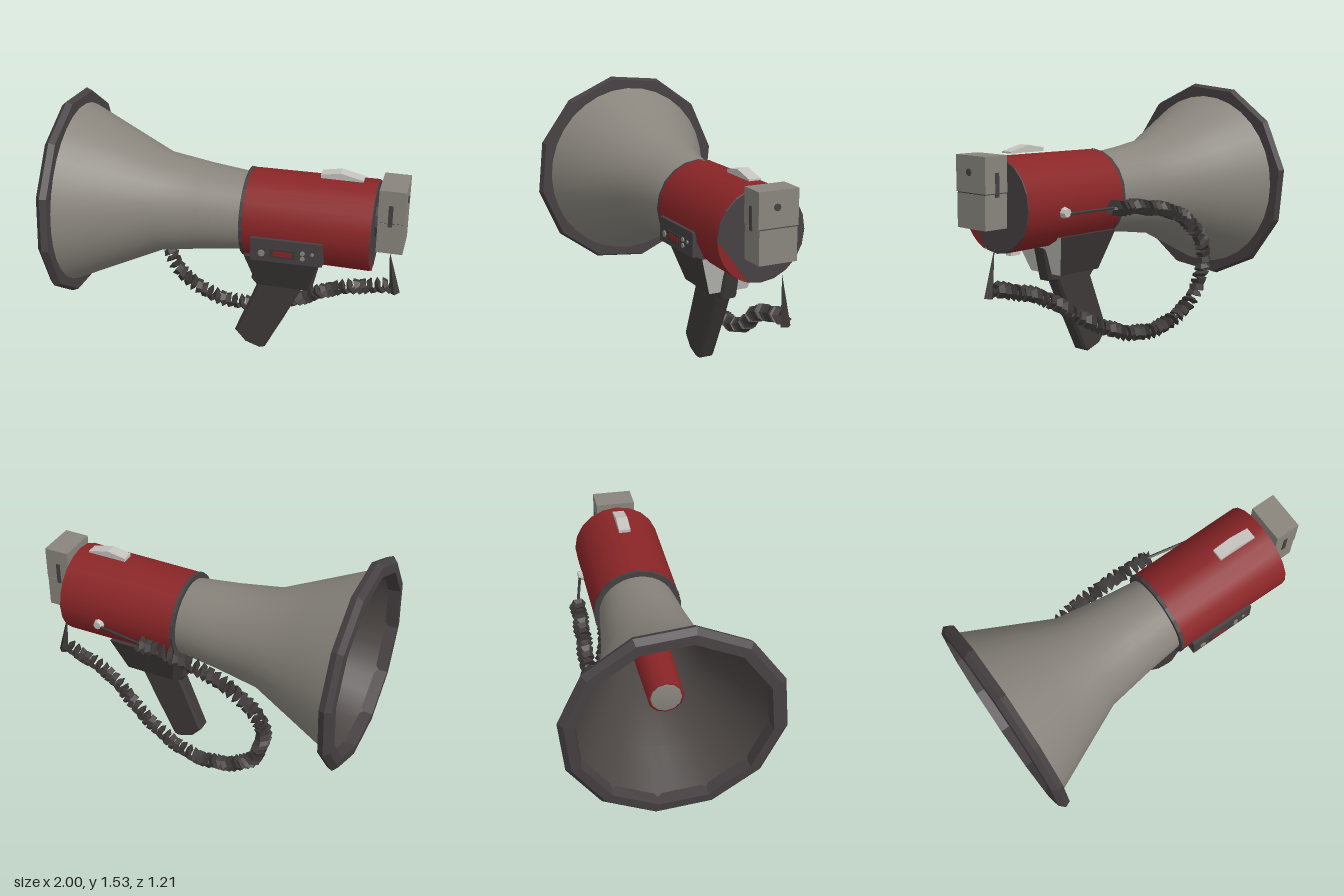
import * as THREE from 'three';

const mat = (name, color, opts = {}) => {
  const m = new THREE.MeshStandardMaterial({ color, ...opts });
  m.name = name;
  return m;
};

export function createModel() {
  const root = new THREE.Group();
  root.name = 'megaphone';
  const AXIS = 0.92;
  const grey = mat('hornGrey', 0x89857d);
  const red = mat('bodyRed', 0x8a2527);
  const dark = mat('darkPlastic', 0x464042, { flatShading: true });
  const lining = mat('hornLining', 0x4a4543);
  const black = mat('gripBlack', 0x3e3939, { flatShading: true });
  const light = mat('lightMetal', 0xc4c3be, { flatShading: true });

  const add = (name, geo, material, x = 0, y = 0, z = 0) => {
    const m = new THREE.Mesh(geo, material);
    m.name = name;
    m.position.set(x, y, z);
    root.add(m);
    return m;
  };
  const box = (name, material, w, h, d, x, y, z) =>
    add(name, new THREE.BoxGeometry(w, h, d), material, x, y, z);
  // profile of [x, radius] pairs turned around the megaphone's long axis
  const turned = (name, profile, material, sides, phase = 0) => {
    const pts = profile.map(([x, r]) => new THREE.Vector2(r, x));
    const geo = new THREE.LatheGeometry(pts, sides, phase);
    geo.rotateZ(-Math.PI / 2);
    return add(name, geo, material, 0, AXIS, 0);
  };

  // horn shell, its lining and the faceted rubber rim
  turned('horn', [[-0.95, 0.54], [-0.68, 0.415], [-0.42, 0.295], [-0.16, 0.255], [0.1, 0.225]], grey, 32);
  turned('hornLining', [[0.1, 0.21], [-0.16, 0.24], [-0.42, 0.28], [-0.68, 0.4], [-0.96, 0.53]], lining, 32);
  turned('rim', [[-1, 0.53], [-0.995, 0.585], [-0.965, 0.615], [-0.93, 0.6], [-0.93, 0.52], [-1, 0.53]], dark, 12, 0.16);

  // sound tube inside the horn
  turned('innerTube', [[-0.74, 0.085], [-0.74, 0.1], [0.05, 0.12]], red, 12);
  turned('innerTubeCap', [[-0.75, 0], [-0.75, 0.085], [-0.735, 0.085]], grey, 12);

  // body with front collar and end cap
  turned('body', [[0.09, 0.257], [0.82, 0.264]], red, 20);
  turned('bodyCollar', [[0.08, 0.2], [0.08, 0.26], [0.1, 0.26]], dark, 20);
  turned('endCap', [[0.815, 0.264], [0.822, 0.258], [0.822, 0]], dark, 20);

  // painted crescent on the end cap
  const crescent = new THREE.Shape();
  crescent.absarc(0, 0, 0.262, -Math.PI + 0.02, -Math.PI + 1.25, false);
  crescent.quadraticCurveTo(-0.16, -0.13, -0.262, -0.005);
  const patch = add('endCapPatch', new THREE.ShapeGeometry(crescent, 8), red, 0.825, AXIS, 0);
  patch.rotation.y = Math.PI / 2;

  // battery box on the rear
  const neck = add('boxNeck', new THREE.CylinderGeometry(0.1, 0.1, 0.05, 10), dark, 0.835, 0.96, 0);
  neck.rotation.z = Math.PI / 2;
  box('batteryBoxUpper', grey, 0.15, 0.196, 0.235, 0.915, 1.1, 0);
  box('batteryBoxLower', grey, 0.15, 0.186, 0.225, 0.915, 0.903, 0);
  box('batteryBoxSeam', dark, 0.146, 0.01, 0.22, 0.915, 1, 0);
  for (const s of [-1, 1]) box('sideSlot', dark, 0.025, 0.13, 0.006, 0.91, 1.045, s * 0.118);
  const button = add('rearButton', new THREE.CylinderGeometry(0.02, 0.02, 0.008, 8), dark, 0.992, 1.11, 0.01);
  button.rotation.z = Math.PI / 2;

  // sight on top
  const sight = new THREE.Shape();
  [[0.5, 1.195], [0.74, 1.195], [0.74, 1.205], [0.61, 1.235], [0.5, 1.215]]
    .forEach(([x, y], i) => (i ? sight.lineTo(x, y) : sight.moveTo(x, y)));
  add('sight', new THREE.ExtrudeGeometry(sight, { depth: 0.07, bevelEnabled: false }), light, 0, -0.002, -0.035);

  // control panel with switch and knobs
  const panel = box('controlPanel', dark, 0.41, 0.14, 0.09, 0.36, 0.828, 0.232);
  panel.rotation.z = 0.015;
  box('switchFrame', black, 0.15, 0.055, 0.006, 0.34, 0.815, 0.278);
  box('switch', red, 0.11, 0.028, 0.008, 0.34, 0.815, 0.28);
  for (const [x, y, r] of [[0.22, 0.808, 0.02], [0.455, 0.835, 0.014], [0.455, 0.802, 0.014], [0.51, 0.835, 0.01]]) {
    const knob = add('knob', new THREE.CylinderGeometry(r, r, 0.008, 8), grey, x, y, 0.28);
    knob.rotation.x = Math.PI / 2;
  }

  // tapered handle mount, light on its rear face
  const mountGeo = new THREE.BoxGeometry(1, 1, 1);
  const p = mountGeo.attributes.position;
  for (let i = 0; i < p.count; i++) {
    const top = p.getY(i) > 0;
    const rear = p.getX(i) > 0;
    const x = rear ? (top ? 0.53 : 0.46) : (top ? 0.1 : 0.16);
    p.setXYZ(i, x, top ? 0.73 : 0.5, Math.sign(p.getZ(i)) * (top ? 0.2 : 0.12));
  }
  mountGeo.computeVertexNormals();
  add('handleMount', mountGeo, [light, black, black, black, black, black]);

  // grip
  const grip = new THREE.Shape();
  [[0.13, 0.64], [0.12, 0.49], [0.155, 0.45], [0.02, 0.11], [0.08, 0.04], [0.16, 0.012],
    [0.185, 0.02], [0.3, 0.25], [0.4, 0.46], [0.46, 0.47], [0.5, 0.64]]
    .forEach(([x, y], i) => (i ? grip.lineTo(x, y) : grip.moveTo(x, y)));
  add('grip', new THREE.ExtrudeGeometry(grip, {
    depth: 0.07, bevelThickness: 0.015, bevelSize: 0.012, bevelSegments: 1,
  }), black, 0, 0, -0.035);

  // coiled cord: a thin triangular tube winding around a sagging path
  const path = new THREE.CatmullRomCurve3([
    [0.27, 0.88, -0.33], [0, 0.86, -0.34], [-0.3, 0.78, -0.35], [-0.52, 0.57, -0.34],
    [-0.46, 0.28, -0.32], [-0.22, 0.13, -0.29], [0.02, 0.12, -0.26], [0.3, 0.22, -0.2],
    [0.6, 0.4, -0.12], [0.92, 0.49, -0.08],
  ].map((a) => new THREE.Vector3(...a)));
  const turns = 62;
  const steps = turns * 6;
  const frames = path.computeFrenetFrames(steps, false);
  const coil = [];
  for (let i = 0; i <= steps; i++) {
    const a = (i / 6) * Math.PI * 2;
    coil.push(path.getPointAt(i / steps)
      .addScaledVector(frames.normals[i], Math.cos(a) * 0.034)
      .addScaledVector(frames.binormals[i], Math.sin(a) * 0.034));
  }
  add('coiledCord', new THREE.TubeGeometry(new THREE.CatmullRomCurve3(coil), steps, 0.02, 3), black);

  // straight cord ends, jack and clip
  const lead = (name, a, b, r) => add(name, new THREE.TubeGeometry(
    new THREE.LineCurve3(new THREE.Vector3(...a), new THREE.Vector3(...b)), 1, r, 5), black);
  lead('jackLead', [0.25, 0.88, -0.33], [0.57, 0.87, -0.272], 0.009);
  const jack = add('jack', new THREE.CylinderGeometry(0.025, 0.035, 0.04, 8), light, 0.56, 0.88, -0.265);
  jack.rotation.x = -Math.PI / 2;
  const spike = add('cordClip', new THREE.ConeGeometry(0.03, 0.28, 4), black, 0.925, 0.58, -0.08);
  spike.rotation.z = 0.17;
  box('lowerTab', light, 0.07, 0.02, 0.04, 0.7, 0.645, 0);

  return root;
}
